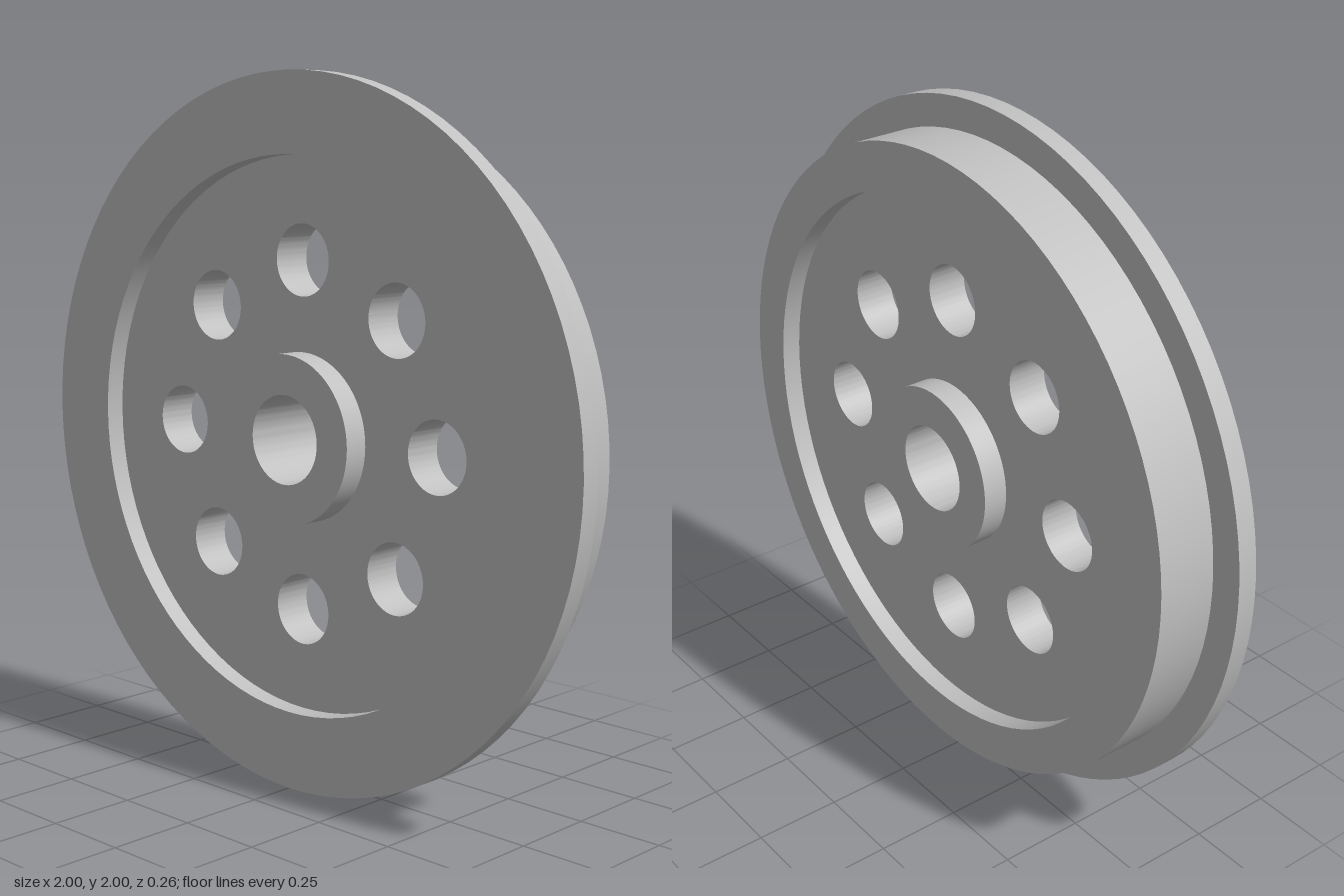
import * as THREE from 'three';
import { toCreasedNormals } from 'three/addons/utils/BufferGeometryUtils.js';

const SEGMENTS = 96;
const RIM_Z = 0.115;   // half width of the rim
const WEB_Z = 0.058;   // half thickness of the web
const HUB_Z = 0.13;    // half length of the hub
const RIM_INNER = 0.777, HUB_RADIUS = 0.237, BORE = 0.125;

export function createModel() {
  const steel = new THREE.MeshStandardMaterial({ color: 0xc0c0c0 });
  steel.name = 'steel grey';

  const wheel = new THREE.Group();
  wheel.name = 'flangedWheel';
  wheel.position.y = 1;

  const add = (name, geometry) => {
    const mesh = new THREE.Mesh(toCreasedNormals(geometry, 0.6), steel);
    mesh.name = name;
    wheel.add(mesh);
  };

  // Closed ring turned about the z axis from [radius, z] corners
  const ring = (corners) => {
    const points = [...corners, corners[0]].map(([r, z]) => new THREE.Vector2(r, z));
    return new THREE.LatheGeometry(points, SEGMENTS).rotateX(Math.PI / 2);
  };

  // Rim: running tread with the wider flange at the front
  add('rimAndFlange', ring([
    [RIM_INNER, -RIM_Z], [0.91, -RIM_Z], [0.91, WEB_Z],
    [1, WEB_Z], [1, RIM_Z], [RIM_INNER, RIM_Z],
  ]));

  // Hub with its axle bore
  add('hub', ring([
    [BORE, -HUB_Z], [HUB_RADIUS, -HUB_Z], [HUB_RADIUS, HUB_Z], [BORE, HUB_Z],
  ]));

  // Recessed web with eight round holes, seated slightly into rim and hub
  const circle = (Type, x, y, r) => new Type().absarc(x, y, r, 0, Math.PI * 2);
  const disc = circle(THREE.Shape, 0, 0, RIM_INNER + 0.02);
  disc.holes.push(circle(THREE.Path, 0, 0, HUB_RADIUS - 0.02));
  for (let i = 0; i < 8; i++) {
    const a = (i * Math.PI) / 4;
    disc.holes.push(circle(THREE.Path, 0.49 * Math.cos(a), 0.49 * Math.sin(a), 0.1));
  }
  const web = new THREE.ExtrudeGeometry(disc, {
    depth: WEB_Z * 2, bevelEnabled: false, curveSegments: 48,
  });
  add('web', web.translate(0, 0, -WEB_Z));

  const model = new THREE.Group();
  model.name = 'wheelModel';
  model.add(wheel);
  return model;
}
